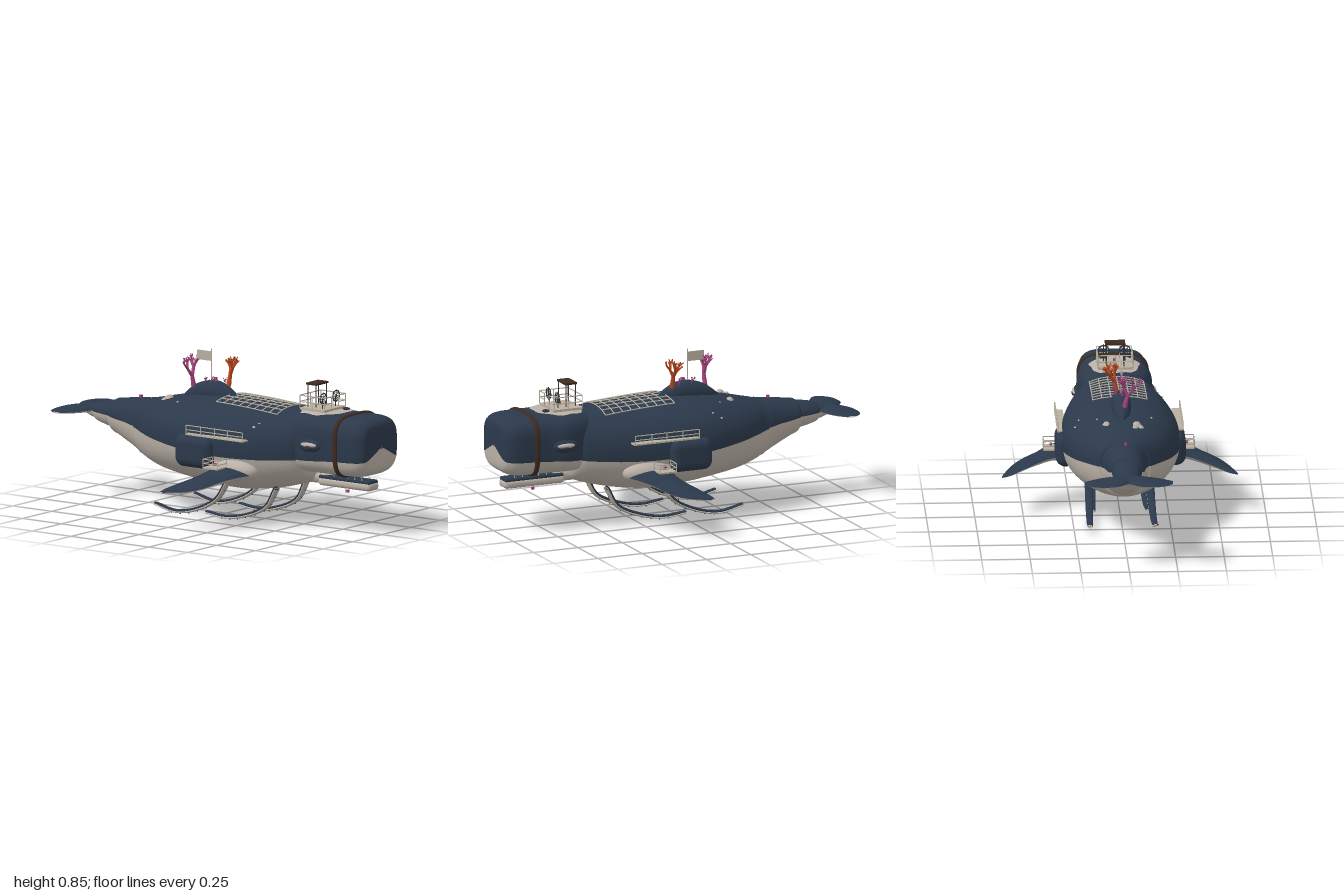
import * as THREE from 'three';
import { mergeGeometries } from 'three/addons/utils/BufferGeometryUtils.js';
import { RoundedBoxGeometry } from 'three/addons/geometries/RoundedBoxGeometry.js';
import { ParametricGeometry } from 'three/addons/geometries/ParametricGeometry.js';

const mat = (name, color) => new THREE.MeshStandardMaterial({ name, color });
const V = (x, y, z) => new THREE.Vector3(x, y, z);

// Smooth interpolation through rows of numbers
function sample(rows, t) {
  const f = t * (rows.length - 1), i = Math.min(Math.floor(f), rows.length - 2), k = f - i;
  const p = [-1, 0, 1, 2].map(d => rows[THREE.MathUtils.clamp(i + d, 0, rows.length - 1)]);
  return rows[0].map((_, c) => {
    const [a, b, d, e] = p.map(r => r[c]);
    return b + 0.5 * k * (d - a + k * (2 * a - 5 * b + 4 * d - e + k * (3 * (b - d) + e - a)));
  });
}
const spow = (v, e) => Math.sign(v) * Math.pow(Math.abs(v), e);
const MID = 0.54;

function surface(fn, nu, nv) {
  const g = new ParametricGeometry(fn, nu, nv);
  g.computeVertexNormals();
  return g;
}

// Hull half: rows are [z, halfWidth, top, bottom, colourLine], front to back
function hull(rows, n, upper) {
  return surface((u, v, out) => {
    const [z, w, top, bot, line] = sample(rows, u);
    const mid = bot + (top - bot) * MID;
    const rel = (line - mid) / (line < mid ? mid - bot : top - mid);
    const split = Math.asin(spow(THREE.MathUtils.clamp(rel, -1, 1), n / 2));
    const a = upper ? split + v * (Math.PI - 2 * split) : Math.PI - split + v * (Math.PI + 2 * split);
    const s = Math.sin(a);
    out.set(w * spow(Math.cos(a), 2 / n), mid + (s > 0 ? top - mid : mid - bot) * spow(s, 2 / n), z);
  }, rows.length * 5, 32);
}

// Height of a hull's upper surface at x, z
function topY(rows, n, x, z) {
  let lo = 0, hi = 1;
  for (let i = 0; i < 24; i++) {
    const m = (lo + hi) / 2;
    if (sample(rows, m)[0] > z) lo = m; else hi = m;
  }
  const [, w, top, bot] = sample(rows, lo), mid = bot + (top - bot) * MID;
  return mid + (top - mid) * Math.pow(Math.max(0, 1 - Math.pow(Math.abs(x / w), n)), 1 / n);
}

// Wing half: stations are [x, y, zFront, zBack, thickness]
function wing(st, s, upper) {
  return surface((u, v, out) => {
    const [x, y, zf, zb, th] = sample(st, v);
    const k = upper === s > 0 ? u : 1 - u;
    const bulge = 0.5 * th * Math.pow(Math.max(0, Math.sin(Math.PI * k)), 0.6);
    out.set(s * x, y + (upper ? bulge : -bulge), zb + (zf - zb) * k);
  }, 16, 30);
}

// Round bar between two points
function bar(a, b, r = 0.003, r2 = r) {
  const d = b.clone().sub(a);
  const g = new THREE.CylinderGeometry(r2, r, d.length(), 6);
  g.applyQuaternion(new THREE.Quaternion().setFromUnitVectors(V(0, 1, 0), d.clone().normalize()));
  return g.translate(...a.clone().add(b).multiplyScalar(0.5).toArray());
}
const chain = (pts, r) => pts.slice(1).map((p, i) => bar(pts[i], p, r));

// Railing: posts plus two rails along a list of floor points
function railing(pts, h, r = 0.0028) {
  const up = k => pts.map(p => V(p.x, p.y + h * k, p.z));
  return mergeGeometries([...pts.map((p, i) => bar(p, up(1)[i], r)), ...chain(up(1), r), ...chain(up(0.5), r)]);
}

// Branching coral
function coral(base, seed, size, lean) {
  const parts = [];
  const rnd = () => (seed = (seed * 16807) % 2147483647) / 2147483647;
  const grow = (p, dir, len, r, depth) => {
    const q = p.clone().addScaledVector(dir, len);
    parts.push(bar(p, q, r, r * 0.7));
    if (!depth) return;
    for (let i = 0; i < 3; i++) {
      const a = (i + rnd()) * 2.1;
      grow(q, dir.clone().add(V(Math.cos(a) * 0.65, 0.25, Math.sin(a) * 0.65)).normalize(), len * (0.6 + rnd() * 0.25), r * 0.66, depth - 1);
    }
  };
  grow(base, V(lean, 1, 0).normalize(), size, size * 0.24, 3);
  return mergeGeometries(parts);
}

export function createModel() {
  const root = new THREE.Group();
  root.name = 'whaleShip';
  const navy = mat('navy skin', 0x2b394b), pale = mat('pale belly', 0xbab1a6), brown = mat('brown leather', 0x3e2a20);
  const orange = mat('orange coral', 0xb8481f), pink = mat('pink coral', 0xa8457f), metal = mat('dark metal', 0x35363a);
  const rail = mat('rail ivory', 0xb9b0a0);
  const add = (name, g, m) => {
    const o = new THREE.Mesh(g, m);
    o.name = name;
    root.add(o);
    return o;
  };
  const box = (name, w, h, d, x, y, z, m) => add(name, new THREE.BoxGeometry(w, h, d).translate(x, y, z), m);
  const ball = (name, rx, ry, rz, x, y, z, m) => add(name, new THREE.SphereGeometry(1, 24, 16).scale(rx, ry, rz).translate(x, y, z), m);
  const twoTone = (name, rows, n, under = pale, over = navy) => {
    add(name + 'Upper', hull(rows, n, true), over);
    add(name + 'Lower', hull(rows, n, false), under);
  };

  // Body, head and tail segments
  const body = [[0.6, 0.01, 0.45, 0.4, 0.42], [0.6, 0.13, 0.585, 0.28, 0.37], [0.57, 0.185, 0.605, 0.24, 0.37], [0.48, 0.225, 0.61, 0.21, 0.365],
    [0.35, 0.265, 0.615, 0.18, 0.36], [0.18, 0.296, 0.622, 0.16, 0.36], [0, 0.306, 0.625, 0.168, 0.37], [-0.15, 0.292, 0.615, 0.185, 0.385],
    [-0.3, 0.248, 0.592, 0.205, 0.4], [-0.4, 0.196, 0.57, 0.227, 0.41], [-0.47, 0.148, 0.555, 0.25, 0.415], [-0.5, 0.125, 0.54, 0.275, 0.42], [-0.5, 0.01, 0.43, 0.41, 0.42]];
  const head = [[1, 0.005, 0.47, 0.45, 0.46], [0.998, 0.12, 0.565, 0.36, 0.405], [0.975, 0.157, 0.598, 0.325, 0.395], [0.93, 0.174, 0.612, 0.307, 0.393],
    [0.85, 0.178, 0.615, 0.302, 0.39], [0.76, 0.18, 0.615, 0.302, 0.385], [0.67, 0.196, 0.617, 0.302, 0.38], [0.59, 0.184, 0.615, 0.302, 0.375], [0.52, 0.16, 0.6, 0.31, 0.375]];
  twoTone('body', body, 2.25);
  twoTone('head', head, 3.6);
  twoTone('tailBase', [[-0.45, 0.12, 0.545, 0.27, 0.42], [-0.5, 0.124, 0.552, 0.262, 0.42], [-0.57, 0.107, 0.547, 0.295, 0.43],
    [-0.65, 0.096, 0.535, 0.335, 0.44], [-0.7, 0.088, 0.525, 0.36, 0.45], [-0.71, 0.05, 0.48, 0.41, 0.45]], 2.1);
  twoTone('tailMiddle', [[-0.68, 0.075, 0.52, 0.37, 0.445], [-0.74, 0.076, 0.515, 0.38, 0.45], [-0.81, 0.064, 0.5, 0.4, 0.455], [-0.82, 0.04, 0.48, 0.42, 0.455]], 2);
  twoTone('tailTip', [[-0.78, 0.056, 0.5, 0.405, 0.455], [-0.84, 0.055, 0.49, 0.415, 0.457], [-0.9, 0.04, 0.475, 0.44, 0.46], [-0.95, 0.005, 0.462, 0.458, 0.46]], 2);
  twoTone('headStrap', [[0.845, 0.17, 0.605, 0.31, 0.39], [0.841, 0.186, 0.622, 0.295, 0.39], [0.821, 0.186, 0.622, 0.295, 0.39], [0.817, 0.17, 0.605, 0.31, 0.39]], 3.6, brown, brown);
  const skinY = (x, z) => Math.max(z < 0.58 ? topY(body, 2.25, x, z) : 0, z > 0.54 ? topY(head, 3.6, x, z) : 0);

  // Lower jaw with teeth
  add('jaw', new RoundedBoxGeometry(0.088, 0.045, 0.34, 4, 0.02).translate(0, 0.248, 0.785), pale);
  add('jawTop', new RoundedBoxGeometry(0.08, 0.022, 0.33, 3, 0.01).translate(0, 0.27, 0.785), navy);
  add('jawHinge', new THREE.CapsuleGeometry(0.035, 0.1, 6, 14).rotateX(Math.PI / 2).translate(0, 0.265, 0.6), pale);

  // Dorsal hump
  twoTone('dorsalHump', [[0.08, 0.005, 0.62, 0.58, 0.6], [0.04, 0.03, 0.65, 0.57, 0.6], [-0.02, 0.045, 0.682, 0.56, 0.6], [-0.08, 0.05, 0.692, 0.56, 0.6],
    [-0.16, 0.046, 0.675, 0.56, 0.6], [-0.22, 0.035, 0.642, 0.56, 0.59], [-0.27, 0.005, 0.6, 0.56, 0.58]], 2, navy);
  add('orangeCoral', coral(V(0.018, 0.665, 0), 11, 0.062, 0.25), orange);
  add('pinkCoral', coral(V(-0.012, 0.645, -0.2), 29, 0.06, -0.25), pink);
  for (let i = 0; i < 5; i++) add('smallCoral', coral(V(0.03 * Math.cos(i * 2), 0.665, -0.03 - i * 0.025), 40 + i, 0.014, 0), pink);
  add('flagPole', bar(V(0, 0.67, -0.095), V(0, 0.855, -0.095)), rail);
  box('flag', 0.004, 0.05, 0.09, 0, 0.815, -0.142, rail);

  // Cargo net over the back
  const net = [];
  for (let i = 0; i <= 6; i++) {
    const x = -0.14 + i * 0.28 / 6;
    net.push(...chain(Array.from({ length: 9 }, (_, k) => V(x, skinY(x, 0.04 + k * 0.0488) + 0.005, 0.04 + k * 0.0488))));
  }
  for (let k = 0; k <= 8; k++) {
    const z = 0.04 + k * 0.0488;
    net.push(...chain(Array.from({ length: 7 }, (_, i) => V(-0.14 + i * 0.28 / 6, skinY(-0.14 + i * 0.28 / 6, z) + 0.005, z))));
  }
  add('backNet', mergeGeometries(net), rail);

  // Head deck: pale patch, platform, railing, canopy and wheels
  add('deckPatch', surface((u, v, out) => {
    const a = u * Math.PI * 2, r = 0.13 * v * (1 + 0.04 * Math.sin(a * 7)), x = r * Math.cos(a), z = 0.645 + r * 1.05 * Math.sin(a);
    out.set(x, skinY(x, z) + 0.005, z);
  }, 48, 8), pale);
  box('deckFloor', 0.18, 0.012, 0.16, 0, 0.626, 0.62, rail);
  add('deckRailing', railing([V(-0.03, 0.63, 0.7), V(-0.09, 0.63, 0.7), V(-0.09, 0.63, 0.62), V(-0.09, 0.63, 0.54), V(0, 0.63, 0.54),
    V(0.09, 0.63, 0.54), V(0.09, 0.63, 0.62), V(0.09, 0.63, 0.7), V(0.03, 0.63, 0.7)], 0.066), rail);
  box('canopy', 0.104, 0.01, 0.066, 0, 0.752, 0.585, brown);
  for (const x of [-0.045, 0.045]) for (const z of [0.558, 0.612]) add('canopyPost', bar(V(x, 0.63, z), V(x, 0.75, z)), metal);
  for (const s of [-1, 1]) {
    const spokes = [0, 1, 2, 3].map(i => {
      const c = Math.cos(i * Math.PI / 4) * 0.034, h = Math.sin(i * Math.PI / 4) * 0.034;
      return bar(V(s * 0.055 - c, 0.685 - h, 0.665), V(s * 0.055 + c, 0.685 + h, 0.665), 0.0018);
    });
    add('wheel', mergeGeometries([...spokes, new THREE.TorusGeometry(0.028, 0.003, 6, 20).translate(s * 0.055, 0.685, 0.665)]), metal);
    add('wheelStand', bar(V(s * 0.055, 0.63, 0.66), V(s * 0.055, 0.685, 0.66)), metal);
  }
  add('deckHatch', new THREE.TorusGeometry(0.014, 0.005, 8, 16).rotateX(Math.PI / 2).translate(0.055, 0.625, 0.73), metal);

  const fin = [[0.25, 0.28, 0.37, 0.1, 0.08], [0.34, 0.277, 0.335, 0.12, 0.07], [0.42, 0.257, 0.275, 0.1, 0.055],
    [0.5, 0.235, 0.235, 0.058, 0.042], [0.56, 0.217, 0.165, 0.026, 0.028], [0.608, 0.206, 0.045, 0.022, 0.008]];
  const fluke = [[0, 0.46, -0.8, -0.935, 0.045], [0.035, 0.46, -0.81, -0.972, 0.045], [0.08, 0.46, -0.823, -0.997, 0.04],
    [0.14, 0.46, -0.842, -1, 0.03], [0.19, 0.46, -0.872, -0.985, 0.02], [0.228, 0.46, -0.9, -0.95, 0.008]];
  const legs = [[0.128, [[0.42, 0.2], [0.36, 0.1], [0.22, 0.037], [0.1, 0.018], [-0.02, 0.03]]],
    [0.155, [[0.12, 0.2], [0.06, 0.11], [-0.07, 0.042], [-0.2, 0.018], [-0.33, 0.045]]]];

  for (const s of [-1, 1]) {
    // Flippers, flukes and shoulder housings
    for (const [name, st] of [['flipper', fin], ['fluke', fluke]]) {
      add(name + 'Top', wing(st, s, true), navy);
      add(name + 'Underside', wing(st, s, false), pale);
    }
    add('shoulderPlate', new RoundedBoxGeometry(0.1, 0.175, 0.24, 6, 0.049).translate(s * 0.285, 0.375, 0.02), navy);
    ball('shoulder', 0.075, 0.065, 0.15, s * 0.245, 0.295, 0.23, pale);

    // Flipper platform and side gallery
    box('flipperPlatform', 0.08, 0.008, 0.095, s * 0.35, 0.315, 0.188, rail);
    add('flipperRailing', railing([V(s * 0.31, 0.315, 0.235), V(s * 0.388, 0.315, 0.235), V(s * 0.388, 0.315, 0.142), V(s * 0.31, 0.315, 0.142)], 0.045), rail);
    box('platformLamp', 0.014, 0.014, 0.014, s * 0.35, 0.332, 0.188, pink);
    box('galleryFloor', 0.045, 0.008, 0.37, s * 0.303, 0.464, 0.165, rail);
    add('galleryRailing', railing([0.345, 0.25, 0.165, 0.075, -0.018].map(z => V(s * 0.322, 0.464, z)), 0.046), rail);

    // Eyes
    ball('eyeSocket', 0.022, 0.035, 0.07, s * 0.188, 0.462, 0.675, navy);
    ball('eyelid', 0.018, 0.014, 0.05, s * 0.2, 0.467, 0.68, pale);
    ball('eye', 0.014, 0.016, 0.02, s * 0.206, 0.455, 0.685, metal);

    // Curved landing legs: navy inside, pale outside, with rivets
    for (const [x, path] of legs) {
      const curve = new THREE.CatmullRomCurve3(path.map(([z, y]) => V(s * x, y, z)));
      const strip = (name, off, m) => add(name, surface((u, v, out) => {
        const p = curve.getPoint(u), t = curve.getTangent(u), a = v * Math.PI * 2, k = 1 - 0.45 * u;
        const across = 0.024 * k * Math.cos(a), thick = 0.009 * k * Math.sin(a) + off;
        out.set(p.x + across + s * 0.015 * u, p.y - t.z * thick, p.z + t.y * thick);
      }, 30, 14), m).material.side = THREE.DoubleSide;
      strip('legInner', 0.004, navy);
      strip('legOuter', -0.004, pale);
      for (let i = 1; i < 9; i++) {
        const p = curve.getPoint(i / 10), t = curve.getTangent(i / 10);
        ball('legRivet', 0.004, 0.004, 0.004, p.x + s * 0.015 * i / 10, p.y + t.z * 0.011, p.z - t.y * 0.011, metal);
      }
    }
    for (let i = 0; i < 6; i++) add('tooth', new THREE.ConeGeometry(0.005, 0.018, 6).translate(s * 0.03, 0.286, 0.67 + i * 0.045), pale);
  }

  // Barnacles and small lamps
  for (const [x, z, r] of [[-0.07, -0.31, 0.022], [-0.09, -0.33, 0.014], [-0.06, -0.34, 0.013], [0.085, -0.295, 0.018], [0.24, -0.18, 0.007],
    [0.22, -0.14, 0.006], [-0.23, 0.35, 0.008], [-0.21, 0.37, 0.006], [0.13, -0.22, 0.005], [-0.15, -0.2, 0.006]])
    add('barnacle', new THREE.CylinderGeometry(r * 0.6, r * 1.2, r * 0.8, 9).translate(x, skinY(x, z) + r * 0.2, z), pale);
  for (const [y, z] of [[0.555, -0.55], [0.645, 0.63], [0.207, 0.78], [0.7, -0.07]]) box('lamp', 0.014, 0.014, 0.014, 0, y, z, pink);
  return root;
}
